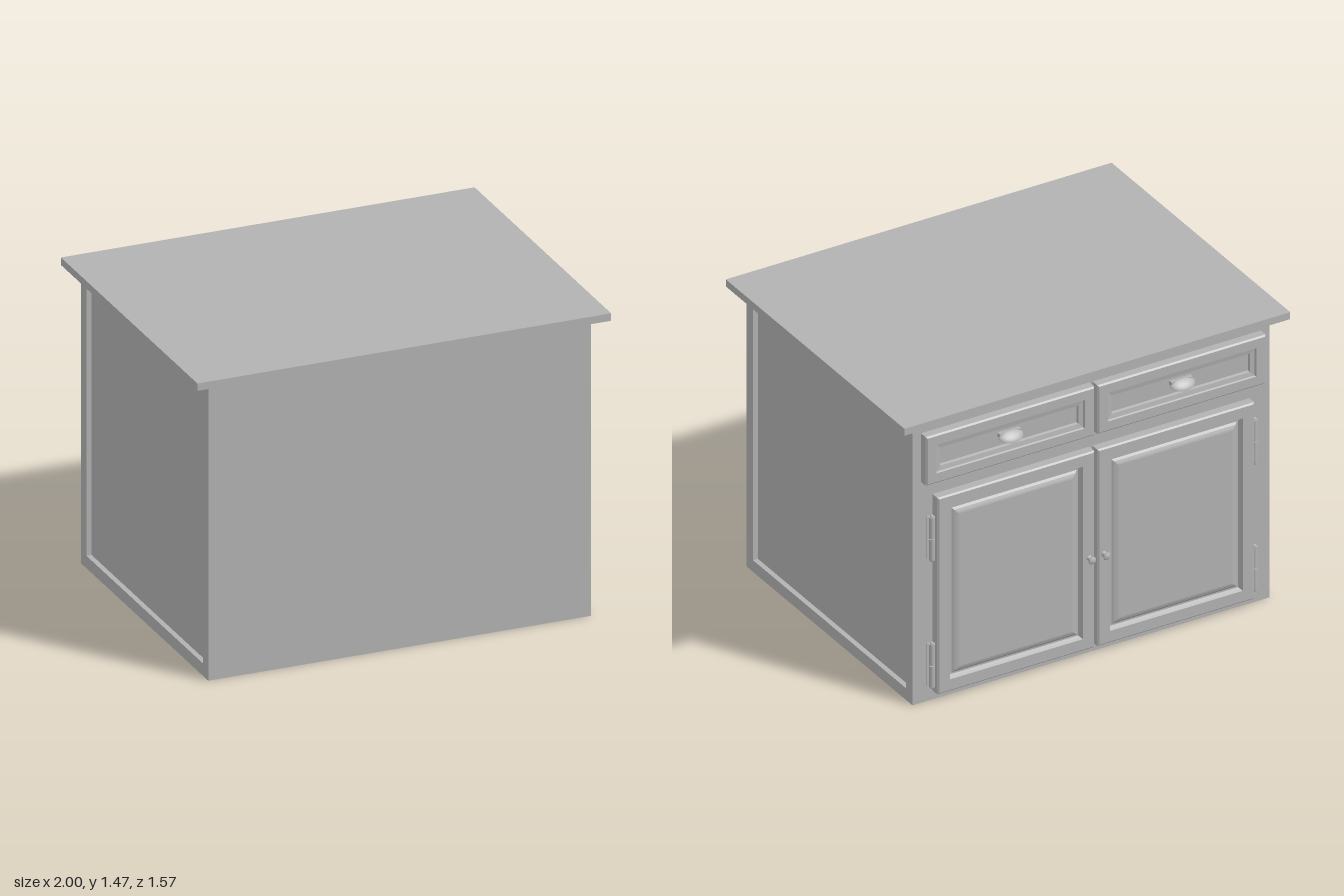
import * as THREE from 'three';

const grey = new THREE.MeshStandardMaterial({ color: 0xb2b2b2, side: THREE.DoubleSide });
grey.name = 'painted grey';

const BACK = -0.70;   // plane of the face that carries doors and drawers
const THICK = 0.047;  // door and drawer thickness

function add(parent, name, geometry, x = 0, y = 0, z = 0) {
  const mesh = new THREE.Mesh(geometry, grey);
  mesh.name = name;
  mesh.position.set(x, y, z);
  parent.add(mesh);
  return mesh;
}

// Moulded panel: nested rectangles following a profile of [inset, height], capped in the middle
function mouldedPanel(w, h, profile) {
  const rings = profile.map(([inset, z]) => {
    const a = w / 2 - inset, b = h / 2 - inset;
    return [[-a, -b, z], [a, -b, z], [a, b, z], [-a, b, z]];
  });
  const pos = [];
  const quad = (a, b, c, d) => pos.push(...a, ...b, ...c, ...a, ...c, ...d);
  for (let k = 0; k < rings.length - 1; k++) {
    for (let i = 0; i < 4; i++) {
      const j = (i + 1) % 4;
      quad(rings[k][i], rings[k][j], rings[k + 1][j], rings[k + 1][i]);
    }
  }
  quad(...rings[rings.length - 1]);
  const g = new THREE.BufferGeometry();
  g.setAttribute('position', new THREE.Float32BufferAttribute(pos, 3));
  g.computeVertexNormals();
  return g.rotateY(Math.PI);
}

// Frame standing proud of a side wall
function sideFrame() {
  const rect = (p, z0, z1, y0, y1) => {
    p.moveTo(-z1, y0);
    p.lineTo(-z0, y0);
    p.lineTo(-z0, y1);
    p.lineTo(-z1, y1);
    p.closePath();
    return p;
  };
  const shape = rect(new THREE.Shape(), BACK, 0.733, 0, 1.435);
  shape.holes.push(rect(new THREE.Path(), -0.642, 0.675, 0.06, 1.375));
  return new THREE.ExtrudeGeometry(shape, { depth: 0.025, bevelEnabled: false }).rotateY(Math.PI / 2);
}

// Hollow cup pull: quarter dome whose open rim slopes down away from the drawer
function cupPull() {
  const g = new THREE.SphereGeometry(1, 24, 10, Math.PI, Math.PI, 0, Math.PI / 2);
  g.scale(0.0625, 0.024, 0.038);
  const p = g.attributes.position;
  for (let i = 0; i < p.count; i++) p.setY(i, p.getY(i) + 0.5 * p.getZ(i));
  g.computeVertexNormals();
  return g;
}

function knob() {
  const pts = [[0.013, 0], [0.013, 0.004], [0.007, 0.010], [0.007, 0.016], [0.017, 0.024],
    [0.019, 0.030], [0.014, 0.036], [0, 0.038]].map(([r, y]) => new THREE.Vector2(r, y));
  return new THREE.LatheGeometry(pts, 20).rotateX(-Math.PI / 2);
}

function hinge() {
  const group = new THREE.Group();
  group.name = 'hinge';
  for (const s of [-1, 1]) {
    add(group, 'hingeKnuckle', new THREE.CylinderGeometry(0.014, 0.014, 0.108, 14), 0, s * 0.056, 0);
    add(group, 'hingeTip', new THREE.SphereGeometry(0.009, 10, 6), 0, s * 0.112, 0);
  }
  add(group, 'hingeLeaf', new THREE.BoxGeometry(0.034, 0.215, 0.006), 0, 0, 0.017);
  return group;
}

export function createModel() {
  const root = new THREE.Group();
  root.name = 'kitchenIsland';

  // Worktop and carcass
  add(root, 'worktop', new THREE.BoxGeometry(2, 0.036, 1.54), 0, 1.453, 0.015);
  add(root, 'carcass', new THREE.BoxGeometry(1.8, 1.435, 1.433), 0, 0.7175, 0.0165);
  add(root, 'leftSideFrame', sideFrame(), 0.9);
  add(root, 'rightSideFrame', sideFrame(), -0.925);

  // Door: frame, groove, then a raised field with a rounded bevel
  const doorProfile = [[0, 0], [0, 0.04], [0.007, THICK], [0.062, THICK], [0.068, 0.036],
    [0.074, 0.026], [0.082, 0.026], [0.092, 0.034], [0.104, 0.039], [0.112, 0.041]];
  // Drawer: frame, sloped step, then a sunk field
  const drawerProfile = [[0, 0], [0, 0.04], [0.007, THICK], [0.052, THICK], [0.056, 0.04],
    [0.078, 0.036], [0.082, 0.024]];

  for (const s of [-1, 1]) {
    const side = s > 0 ? 'left' : 'right';
    const doorW = 0.813, drawerW = 0.873;
    add(root, side + 'Door', mouldedPanel(doorW, 1.01, doorProfile), s * (0.008 + doorW / 2), 0.55, BACK);
    add(root, side + 'Drawer', mouldedPanel(drawerW, 0.25, drawerProfile), s * (0.008 + drawerW / 2), 1.26, BACK);
    add(root, side + 'DrawerPull', cupPull(), s * 0.445, 1.267, BACK - THICK);
    add(root, side + 'DrawerPullPlate', new THREE.BoxGeometry(0.11, 0.02, 0.025), s * 0.445, 1.277, BACK - 0.036);
    add(root, side + 'Knob', knob(), s * 0.038, 0.515, BACK - THICK);
    for (const y of [0.19, 0.842]) {
      const h = hinge();
      h.position.set(s * 0.836, y, BACK - 0.02);
      root.add(h);
    }
  }
  return root;
}
